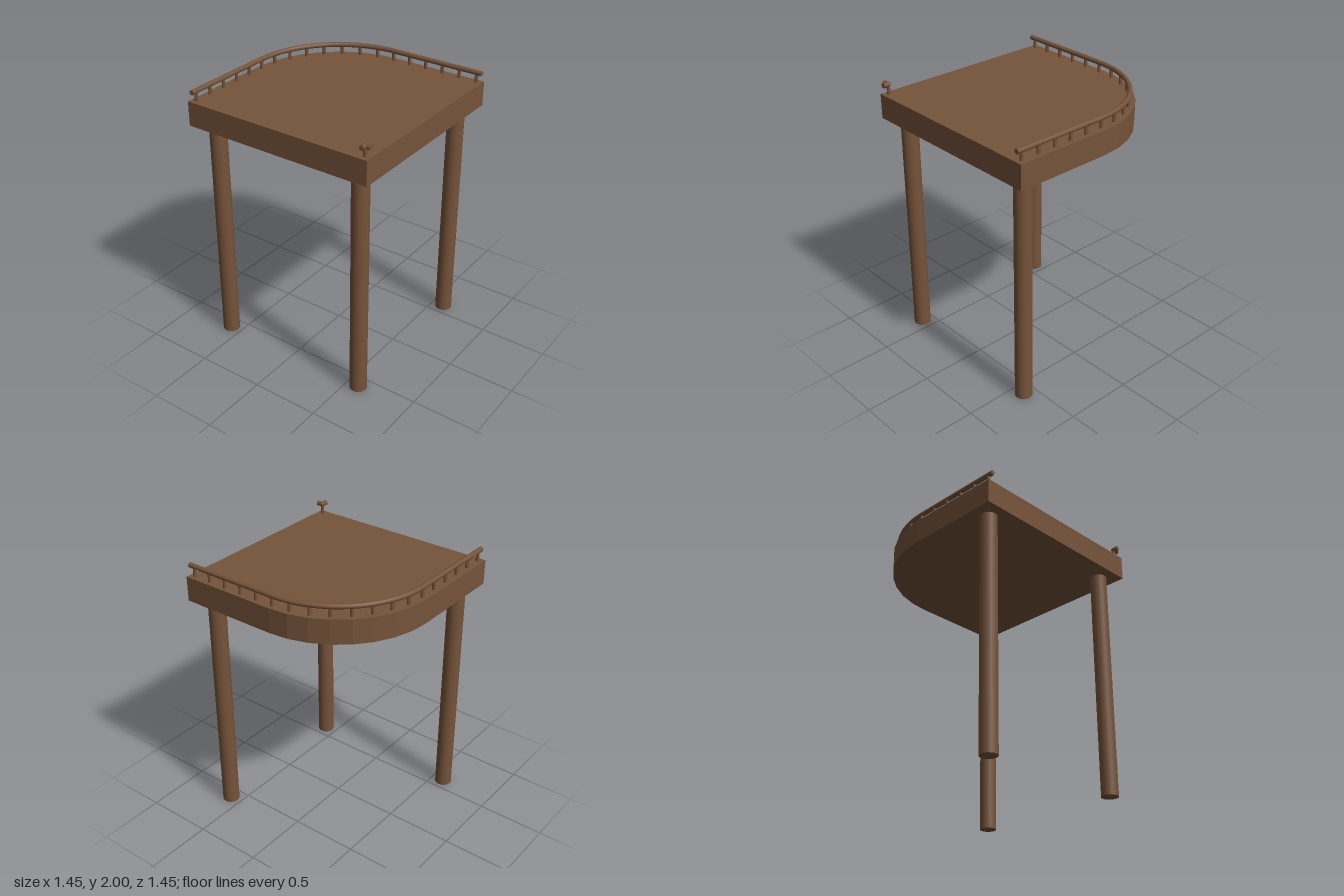
import * as THREE from 'three';

const HALF = 0.725;      // half width of the deck
const DECK_LOW = 1.73, DECK_TOP = 1.91;
const RAIL = 0.684;      // rail distance from the centre
const RAIL_R = 0.018, RAIL_Y = 2 - RAIL_R;

export function createModel() {
  const wood = new THREE.MeshStandardMaterial({ color: 0x75533a });
  wood.name = 'brown wood';

  const model = new THREE.Group();
  model.name = 'cornerPlatform';
  const add = (name, geometry, x = 0, y = 0, z = 0, parent = model) => {
    const mesh = new THREE.Mesh(geometry, wood);
    mesh.name = name;
    mesh.position.set(x, y, z);
    parent.add(mesh);
    return mesh;
  };

  // Deck: square with one quarter-round corner at the back right (-x, -z)
  const outline = new THREE.Shape();
  outline.moveTo(HALF, HALF);
  outline.lineTo(0, HALF);
  for (let i = 1; i <= 8; i++) {
    const a = (i / 8) * Math.PI / 2;
    outline.lineTo(-HALF * Math.sin(a), HALF * Math.cos(a));
  }
  outline.lineTo(-HALF, -HALF);
  outline.lineTo(HALF, -HALF);
  const deck = new THREE.ExtrudeGeometry(outline, { depth: DECK_TOP - DECK_LOW, bevelEnabled: false });
  deck.rotateX(-Math.PI / 2);
  add('deck', deck, 0, DECK_LOW, 0);

  // Legs under the three square corners
  const legGeometry = new THREE.CylinderGeometry(0.062, 0.062, DECK_LOW, 24);
  for (const [x, z] of [[-0.592, 0.592], [0.592, 0.592], [0.592, -0.592]]) {
    add('leg', legGeometry, x, DECK_LOW / 2, z);
  }

  // Railing: straight, quarter turn, straight
  const railing = new THREE.Group();
  railing.name = 'railing';
  model.add(railing);

  const barX = new THREE.CylinderGeometry(RAIL_R, RAIL_R, 1, 16).rotateZ(Math.PI / 2);
  const barZ = new THREE.CylinderGeometry(RAIL_R, RAIL_R, 1, 16).rotateX(Math.PI / 2);
  add('sideRail', barZ, -RAIL, RAIL_Y, HALF / 2, railing).scale.z = HALF;
  add('backRail', barX, HALF / 2, RAIL_Y, -RAIL, railing).scale.x = HALF;
  const bend = new THREE.TorusGeometry(RAIL, RAIL_R, 16, 32, Math.PI / 2);
  bend.rotateX(-Math.PI / 2).rotateY(Math.PI / 2);
  add('curvedRail', bend, 0, RAIL_Y, 0, railing);

  // Short elbow of rail on the front corner
  const stub = HALF - RAIL;
  add('cornerRailX', barX, RAIL + stub / 2, RAIL_Y, RAIL, railing).scale.x = stub;
  add('cornerRailZ', barZ, RAIL, RAIL_Y, RAIL + stub / 2, railing).scale.z = stub;
  add('cornerJoint', new THREE.SphereGeometry(RAIL_R, 16, 10), RAIL, RAIL_Y, RAIL, railing);

  // Posts, evenly spaced below the rail
  const postHeight = RAIL_Y - DECK_TOP;
  const postGeometry = new THREE.CylinderGeometry(0.0125, 0.0125, postHeight, 12);
  const post = (x, z) => add('post', postGeometry, x, DECK_TOP + postHeight / 2, z, railing);
  for (let i = 0; i <= 5; i++) {
    const d = (i / 5) * RAIL;
    post(-RAIL, d);
    post(d, -RAIL);
  }
  for (let i = 1; i < 8; i++) {
    const a = (i / 8) * Math.PI / 2;
    post(-RAIL * Math.cos(a), -RAIL * Math.sin(a));
  }
  post(RAIL, RAIL);

  return model;
}
